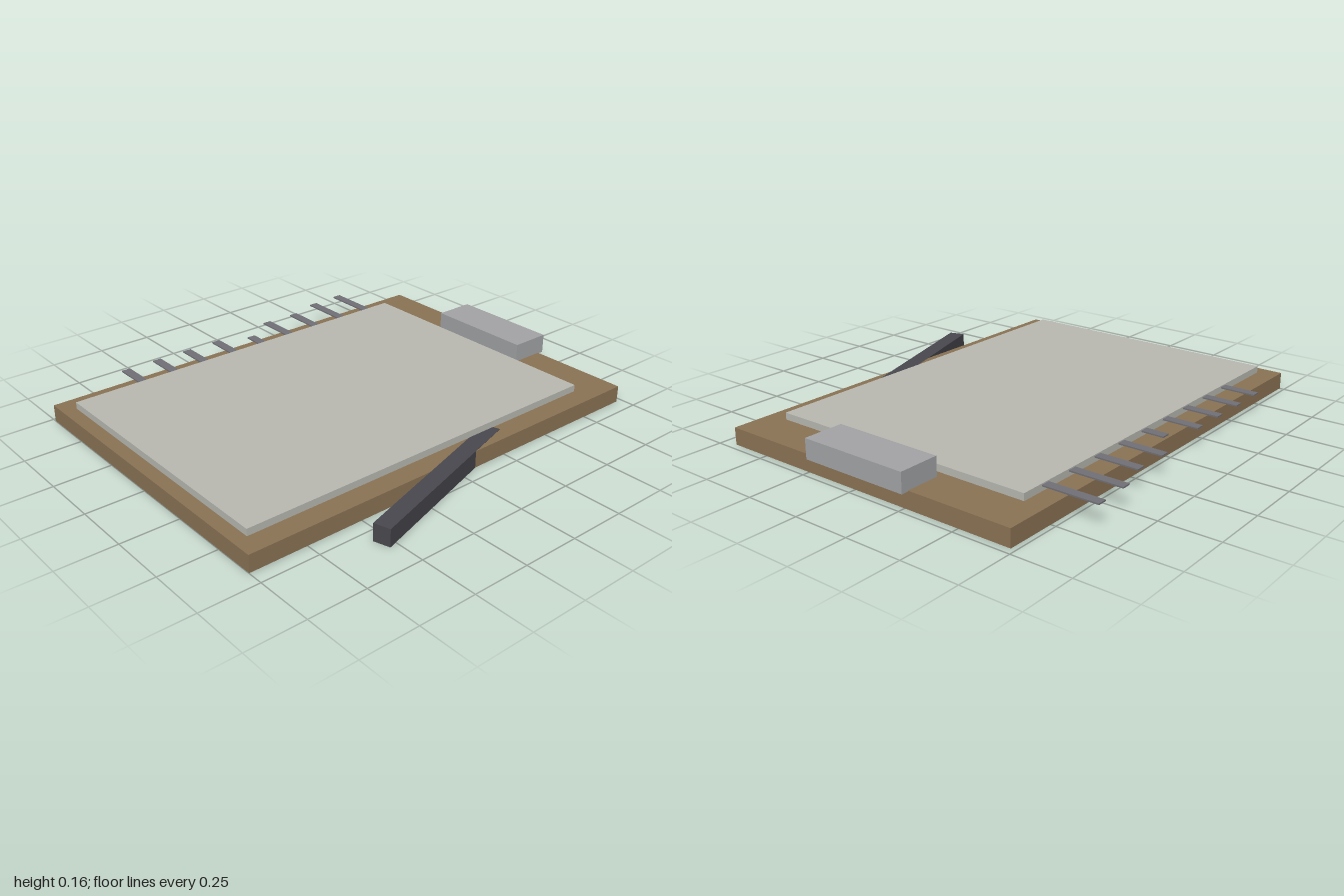
import * as THREE from 'three';

// Box given by its extents along each axis
function slab(name, color, [x0, x1], [y0, y1], [z0, z1]) {
  const mesh = new THREE.Mesh(
    new THREE.BoxGeometry(x1 - x0, y1 - y0, z1 - z0),
    new THREE.MeshStandardMaterial({ color })
  );
  mesh.position.set((x0 + x1) / 2, (y0 + y1) / 2, (z0 + z1) / 2);
  mesh.name = name;
  return mesh;
}

export function createModel() {
  const model = new THREE.Group();
  model.name = 'clipboard';

  // Wooden board, sheet of paper and metal clip
  model.add(slab('board', 0x8b7355, [-0.73, 0.683], [0.001, 0.075], [-0.97, 1]));
  model.add(slab('paper', 0xb9b9b2, [-0.64, 0.59], [0.075, 0.105], [-0.785, 0.94]));
  model.add(slab('clip', 0xa3a4a6, [-0.27, 0.223], [0.071, 0.157], [-1, -0.82]));

  // Thin tabs of uneven length along the paper's edge
  const tabs = new THREE.Group();
  tabs.name = 'tabs';
  const tips = [-0.88, -0.872, -0.83, -0.832, -0.74, -0.8, -0.8, -0.8, -0.797];
  tips.forEach((tip, i) => {
    const z = -0.665 + i * 0.16;
    tabs.add(slab('tab', 0x707076, [tip, -0.62], [0.094, 0.1], [z - 0.02, z + 0.02]));
  });
  model.add(tabs);

  // Square pen set at an angle through the board's edge
  const pen = slab('pen', 0x48484e, [-0.036, 0.036], [0, 0.076], [-0.43, 0.43]);
  pen.position.x = 0.713;
  pen.position.z = 0.135;
  pen.rotation.y = 0.3;
  model.add(pen);

  return model;
}
